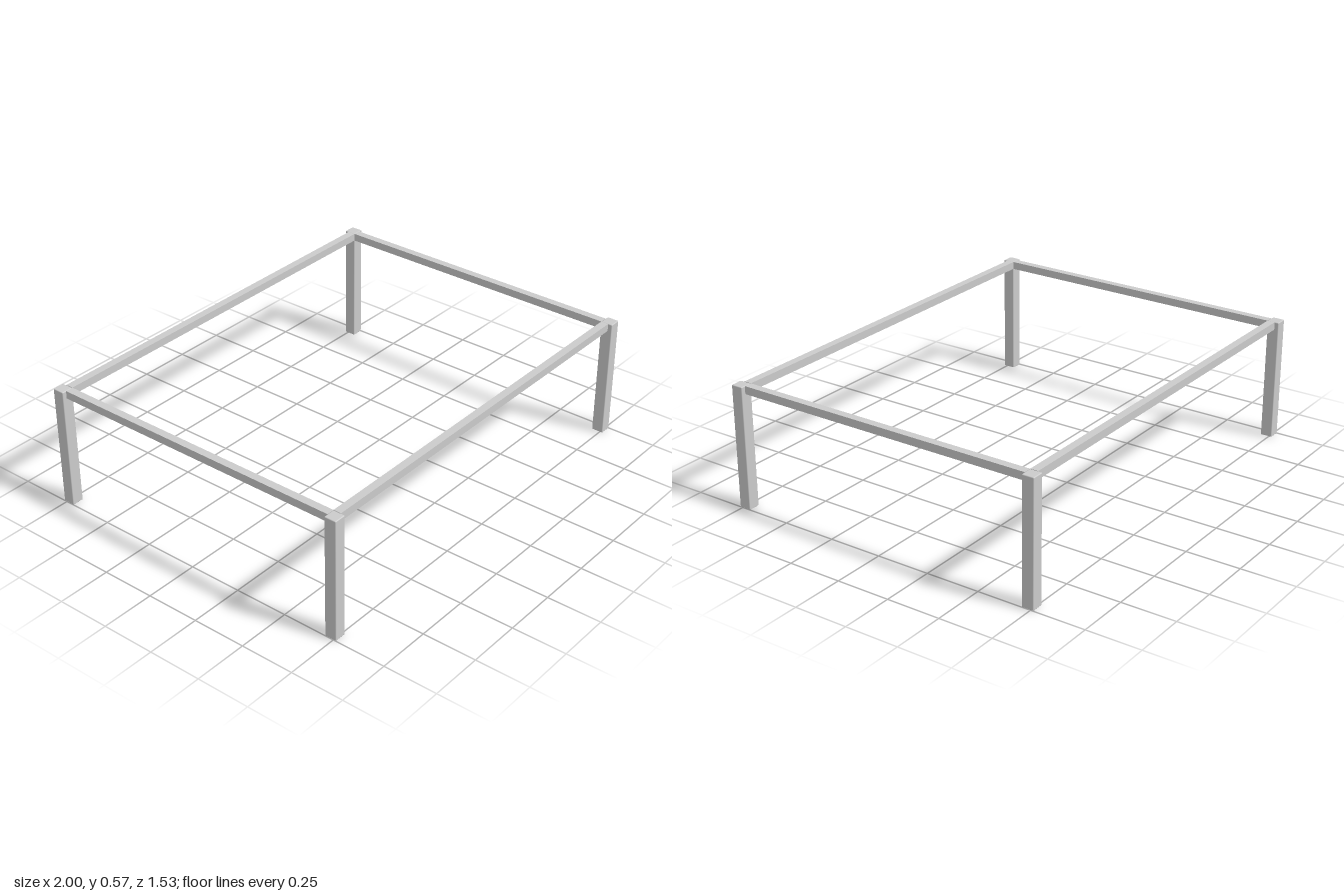
import * as THREE from 'three';
import { RoundedBoxGeometry } from 'three/addons/geometries/RoundedBoxGeometry.js';

const HALF_X = 1, HALF_Z = 0.764, HEIGHT = 0.568;
const LEG = 0.056, RAIL = 0.036;

export function createModel() {
  const group = new THREE.Group();
  group.name = 'tableFrame';
  const material = new THREE.MeshStandardMaterial({ color: 0xcccccc });

  const add = (name, geometry, x, y, z) => {
    const mesh = new THREE.Mesh(geometry, material);
    mesh.name = name;
    mesh.position.set(x, y, z);
    group.add(mesh);
  };

  const innerX = HALF_X - LEG, innerZ = HALF_Z - LEG;
  const railY = HEIGHT - RAIL / 2;

  // Square legs with softened edges
  const legGeometry = new RoundedBoxGeometry(LEG, HEIGHT, LEG, 3, 0.004);
  for (const sx of [-1, 1]) {
    for (const sz of [-1, 1]) {
      const name = (sz > 0 ? 'front' : 'back') + (sx > 0 ? 'Left' : 'Right') + 'Leg';
      add(name, legGeometry, sx * (HALF_X - LEG / 2), HEIGHT / 2, sz * (HALF_Z - LEG / 2));
    }
  }

  // Rails between the legs, level with their tops and inner faces
  const longRail = new THREE.BoxGeometry(2 * innerX, RAIL, RAIL);
  const sideRail = new THREE.BoxGeometry(RAIL, RAIL, 2 * innerZ);
  for (const s of [-1, 1]) {
    add(s > 0 ? 'frontRail' : 'backRail', longRail, 0, railY, s * (innerZ + RAIL / 2));
    add(s > 0 ? 'leftRail' : 'rightRail', sideRail, s * (innerX + RAIL / 2), railY, 0);
  }

  return group;
}
